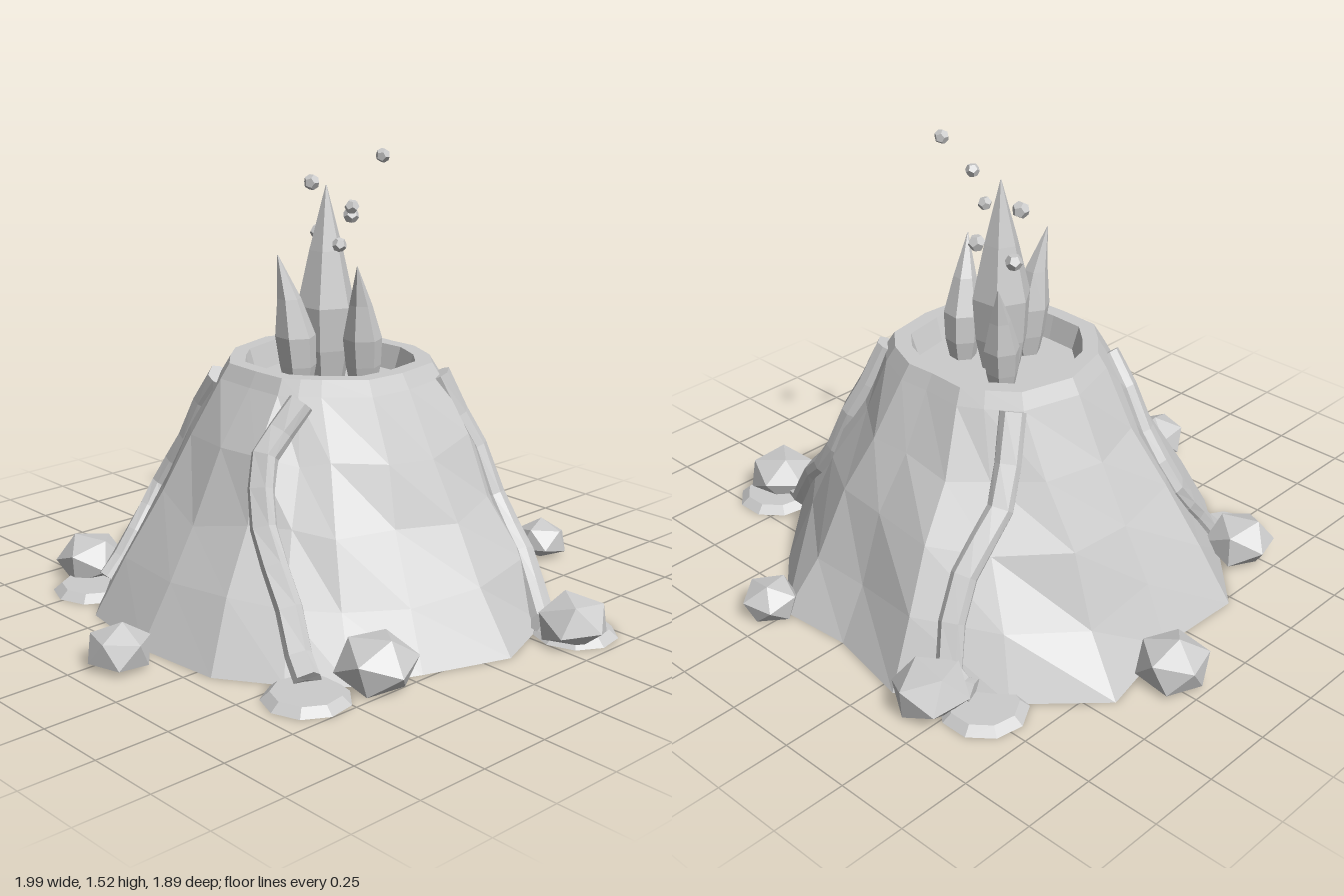
import * as THREE from 'three';

const V = (x, y, z) => new THREE.Vector3(x, y, z);
const material = new THREE.MeshStandardMaterial({ color: 0xcccccc, flatShading: true });

let seed = 7;
const jitter = (a) => {
  seed = (seed * 16807) % 2147483647;
  return (seed / 2147483647 - 0.5) * 2 * a;
};

// Skin closed rings of points, with both ends capped
function skin(rings) {
  const out = [];
  const tri = (...pts) => pts.forEach((p) => out.push(p.x, p.y, p.z));
  const centre = (ring) => ring.reduce((s, p) => s.add(p), V(0, 0, 0)).divideScalar(ring.length);
  const n = rings[0].length, last = rings[rings.length - 1];
  const c0 = centre(rings[0]), c1 = centre(last);
  for (let j = 0; j < n; j++) {
    const k = (j + 1) % n;
    for (let i = 0; i < rings.length - 1; i++) {
      const a = rings[i][j], b = rings[i][k], c = rings[i + 1][k], d = rings[i + 1][j];
      tri(a, d, c);
      tri(a, c, b);
    }
    tri(c0, rings[0][j], rings[0][k]);
    tri(c1, last[k], last[j]);
  }
  const g = new THREE.BufferGeometry();
  g.setAttribute('position', new THREE.Float32BufferAttribute(out, 3));
  g.computeVertexNormals();
  return g;
}

// Mountain: each entry is foot x, z and crater rim x, z
const OUTLINE = [
  [0.83, -0.09, 0.33, -0.1], [0.73, 0.2, 0.32, 0.04], [0.64, 0.42, 0.22, 0.15],
  [0.5, 0.56, 0.17, 0.195], [0.31, 0.69, 0.12, 0.23], [0, 0.72, 0, 0.235],
  [-0.32, 0.67, -0.14, 0.23], [-0.54, 0.46, -0.22, 0.16], [-0.77, 0.22, -0.29, 0.08],
  [-0.76, -0.1, -0.34, -0.1], [-0.83, -0.43, -0.29, -0.28], [-0.6, -0.66, -0.2, -0.35],
  [-0.3, -0.87, -0.13, -0.39], [0, -0.81, 0, -0.385], [0.26, -0.83, 0.1, -0.39],
  [0.5, -0.62, 0.22, -0.34], [0.72, -0.38, 0.3, -0.27],
];

function mountainGeometry() {
  const rim = (y, s) => OUTLINE.map(([, , x, z]) => V(x * s, y, -0.08 + (z + 0.08) * s));
  const rings = [];
  for (let i = 0; i < 4; i++) {
    const t = i / 4, e = i ? 0.018 : 0;
    rings.push(OUTLINE.map(([fx, fz, rx, rz]) => V(
      THREE.MathUtils.lerp(fx, rx * 1.08, t) + jitter(e),
      t * 0.77 + jitter(e * 1.5),
      THREE.MathUtils.lerp(fz, -0.08 + (rz + 0.08) * 1.08, t) + jitter(e))));
  }
  // Rim bevel, flat lip, inner wall and crater floor
  rings.push(rim(0.77, 1.09), rim(0.82, 1), rim(0.82, 0.84), rim(0.74, 0.77));
  return skin(rings);
}

// Lava stream: a ridged band laid over the slope along points in plan
function streamGeometry(plan, mountain) {
  const ray = new THREE.Raycaster();
  const curve = new THREE.CatmullRomCurve3(plan.map(([x, z]) => V(x, 0, z)));
  const path = curve.getPoints(8).map((p) => {
    ray.set(V(p.x, 3, p.z), V(0, -1, 0));
    const hit = ray.intersectObject(mountain)[0];
    return V(p.x, Math.min(0.78, Math.max(0.03, hit ? hit.point.y : 0)), p.z);
  });
  return skin(path.map((p, i) => {
    const t = path[Math.min(i + 1, 8)].clone().sub(path[Math.max(i - 1, 0)]).normalize();
    const n = V(p.x, 0, p.z + 0.08).normalize().multiplyScalar(0.8).add(V(0, 0.6, 0));
    n.addScaledVector(t, -n.dot(t)).normalize();
    const e = n.clone().cross(t);
    return [[-0.026, 0.035], [0.026, 0.035], [0.042, 0.012], [0.042, -0.045], [-0.042, -0.045], [-0.042, 0.012]]
      .map(([w, h]) => {
        const q = p.clone().addScaledVector(e, w).addScaledVector(n, h);
        q.y = Math.max(q.y, 0.002);
        return q;
      });
  }));
}

// Spire: a leaning six-sided spindle
function spireGeometry([bx, bz, tx, tz, top, r]) {
  return skin([[0, 0.65], [0.18, 0.9], [0.4, 1], [0.68, 0.58], [1, 0.02]].map(([t, s]) =>
    Array.from({ length: 6 }, (_, j) => {
      const a = (j * Math.PI) / 3 + bx * 9;
      const lean = t * t;
      return V(
        THREE.MathUtils.lerp(bx, tx, lean) + Math.cos(a) * r * s,
        0.73 + t * (top - 0.73),
        THREE.MathUtils.lerp(bz, tz, lean) + Math.sin(a) * r * s);
    })));
}

// Boulder: a squashed icosahedron with its underside cut at the ground
function boulderGeometry(r, turn) {
  const g = new THREE.IcosahedronGeometry(r, 0);
  g.rotateX(turn * 0.5).rotateZ(turn * 0.3).rotateY(turn).scale(1, 0.78, 1).translate(0, r * 0.5, 0);
  const p = g.attributes.position;
  for (let i = 0; i < p.count; i++) p.setY(i, Math.max(p.getY(i), 0));
  g.computeVertexNormals();
  return g;
}

export function createModel() {
  const model = new THREE.Group();
  const add = (name, geometry, x = 0, y = 0, z = 0) => {
    const mesh = new THREE.Mesh(geometry, material);
    mesh.name = name;
    mesh.position.set(x, y, z);
    model.add(mesh);
    return mesh;
  };

  const mountain = add('mountain', mountainGeometry());

  // Lava streams in plan (x, z), running downhill
  [
    [[0.2, 0.22], [0.185, 0.36], [0.26, 0.43], [0.42, 0.47], [0.57, 0.53]],
    [[-0.23, 0.2], [-0.38, 0.21], [-0.49, 0.25], [-0.49, 0.37], [-0.5, 0.49]],
    [[0.31, -0.29], [0.4, -0.38], [0.54, -0.4], [0.67, -0.37], [0.8, -0.33]],
    [[-0.29, -0.32], [-0.36, -0.45], [-0.36, -0.61], [-0.42, -0.74], [-0.51, -0.72]],
  ].forEach((plan) => add('lavaStream', streamGeometry(plan, mountain)));

  // Lava pools at the foot of each stream
  [[0.61, 0.57], [-0.51, 0.54], [0.84, -0.39], [-0.56, -0.73]].forEach(([x, z]) =>
    add('lavaPool', new THREE.CylinderGeometry(0.11, 0.14, 0.026, 9), x, 0.013, z));

  // Boulders: x, z, radius, turn
  [
    [0.68, 0.35, 0.135, 0.4], [-0.62, 0.47, 0.125, 1.3], [0.87, -0.34, 0.125, 2.2], [-0.43, -0.83, 0.13, 0.9],
    [-0.88, -0.22, 0.125, 2.9], [0.05, 0.84, 0.11, 3.6], [0.3, -0.86, 0.1, 4.4],
  ].forEach(([x, z, r, turn]) => add('boulder', boulderGeometry(r, turn), x, 0, z));

  // Eruption spires: foot x, z, tip x, z, tip height, radius
  [
    [-0.01, -0.08, -0.01, -0.08, 1.39, 0.1],
    [0, 0.05, -0.035, 0.11, 1.18, 0.068],
    [0.13, -0.12, 0.17, -0.05, 1.15, 0.065],
    [-0.12, -0.19, -0.155, -0.245, 1.11, 0.06],
  ].forEach((s) => add('eruptionSpire', spireGeometry(s)));

  // Embers thrown into the air
  [
    [-0.19, 1.37, -0.18], [-0.18, 1.2, -0.2], [-0.09, 1.26, -0.27],
    [0.185, 1.5, -0.145], [0.185, 1.35, -0.01], [0.165, 1.23, 0.025],
  ].forEach(([x, y, z], i) =>
    add('ember', new THREE.DodecahedronGeometry(i < 3 ? 0.028 : 0.024, 0).rotateZ(i), x, y, z));

  return model;
}
